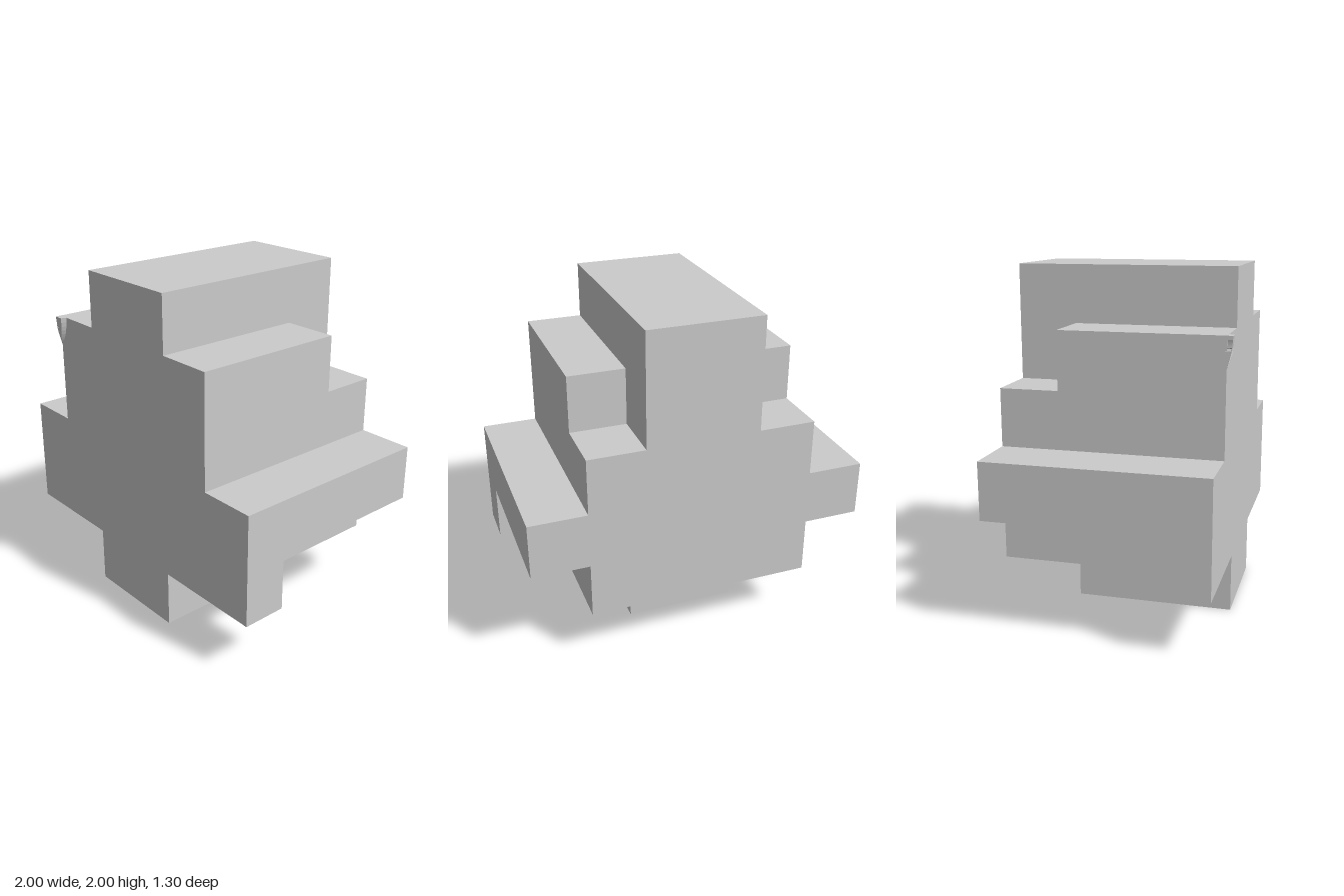
import * as THREE from 'three';

const FRONT = 0.613, BACK = -0.652;
const material = new THREE.MeshStandardMaterial({ color: 0xcccccc, flatShading: true, side: THREE.DoubleSide });

// Extrudes a side profile of [z, y] points along x, from x0 to x1
function column(name, profile, x0, x1) {
  const shape = new THREE.Shape(profile.map(([z, y]) => new THREE.Vector2(-z, y)));
  const geometry = new THREE.ExtrudeGeometry(shape, { depth: x1 - x0, bevelEnabled: false });
  geometry.rotateY(Math.PI / 2).translate(x0, 0, 0);
  const mesh = new THREE.Mesh(geometry, material);
  mesh.name = name;
  return mesh;
}

// Small curved chip on the front face, thinning out towards its lower tip
function cornerChip() {
  const shape = new THREE.Shape();
  shape.moveTo(-0.667, 1.667);
  shape.lineTo(-0.667, 1.645);
  shape.lineTo(-0.654, 1.645);
  shape.quadraticCurveTo(-0.652, 1.61, -0.667, 1.585);
  shape.lineTo(-0.667, 1.487);
  shape.quadraticCurveTo(-0.604, 1.55, -0.6, 1.667);
  shape.closePath();
  const geometry = new THREE.ExtrudeGeometry(shape, { depth: 1, bevelEnabled: false, curveSegments: 8 });
  const p = geometry.attributes.position;
  for (let i = 0; i < p.count; i++) {
    const x = p.getX(i), y = p.getY(i);
    const rise = Math.min(1, Math.max(0, (y - 1.487) / 0.06));
    const front = FRONT + 0.022 * rise + 0.09 * Math.max(0, y - 1.547);
    p.setZ(i, p.getZ(i) > 0.5 ? front : FRONT - 0.01);
    // the front rim is drawn in slightly from the outer curve
    if (p.getZ(i) > FRONT && x > -0.66) p.setX(i, x - 0.012 * rise);
  }
  geometry.computeVertexNormals();
  const mesh = new THREE.Mesh(geometry, material);
  mesh.name = 'cornerChip';
  return mesh;
}

export function createModel() {
  const group = new THREE.Group();
  group.name = 'steppedBlock';

  // Tall middle block with the foot cut short at the back
  group.add(column('core', [
    [FRONT, 0], [FRONT, 2], [BACK, 2], [BACK, 0.337], [-0.315, 0.337], [-0.315, 0],
  ], -0.333, 0.333));

  // Shoulders, stepped down at the back
  const shoulder = [
    [FRONT, 0.337], [FRONT, 1.667], [-0.315, 1.667], [-0.315, 1.333], [BACK, 1.333], [BACK, 0.337],
  ];
  // Arms, with a drop only along the front
  const arm = [
    [FRONT, 0.337], [FRONT, 1], [BACK, 1], [BACK, 0.67], [0.352, 0.67], [0.352, 0.337],
  ];
  group.add(
    column('leftShoulder', shoulder, 0.333, 0.665), column('rightShoulder', shoulder, -0.665, -0.333),
    column('leftArm', arm, 0.665, 1), column('rightArm', arm, -1, -0.665),
    cornerChip(),
  );
  return group;
}
